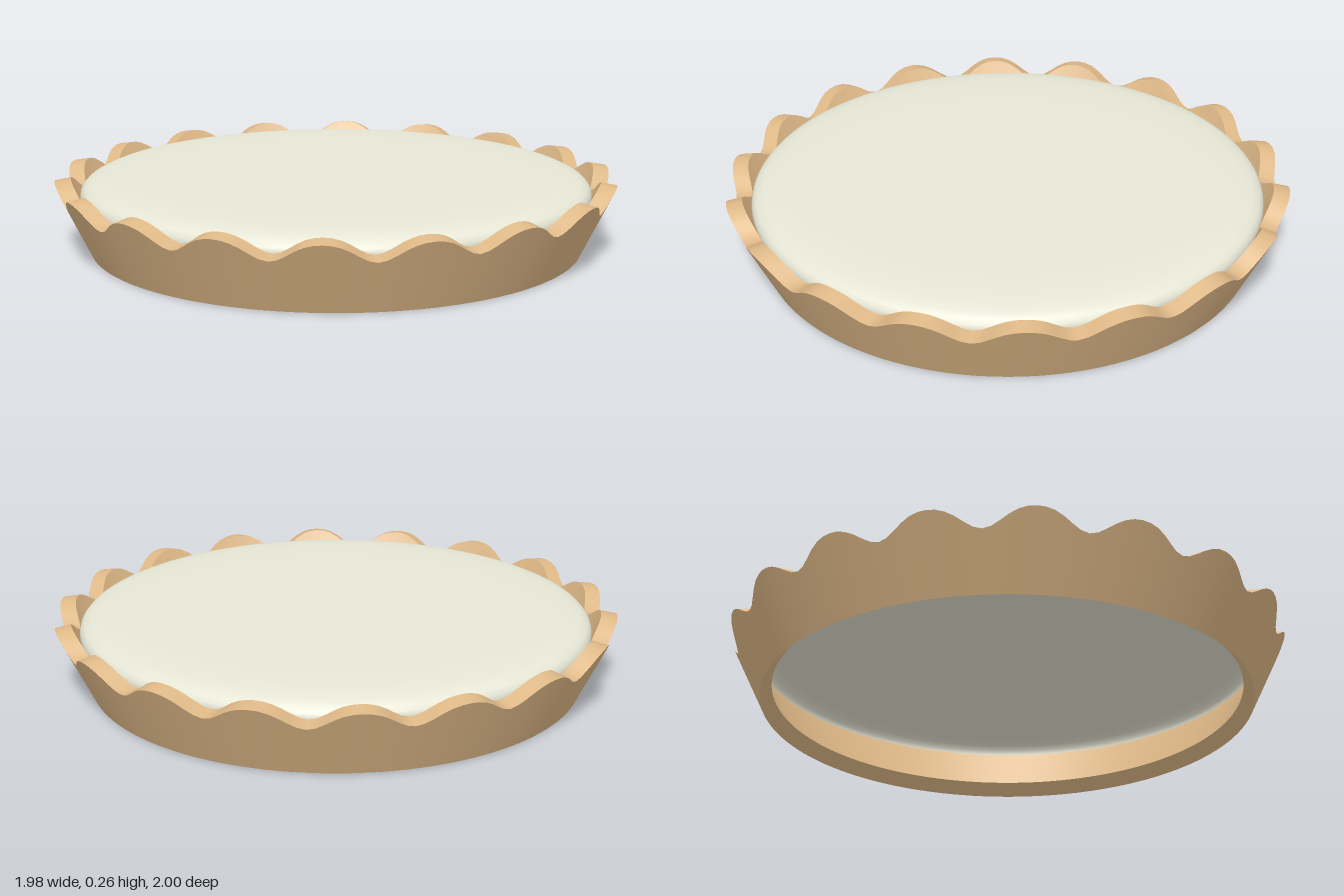
import * as THREE from 'three';
import { mergeGeometries } from 'three/addons/utils/BufferGeometryUtils.js';

const SCALLOPS = 18;
const SEGMENTS = SCALLOPS * 12;

// Height of the wavy rim: broad humps with narrower dips
function rimHeight(a) {
  const wave = Math.cos(SCALLOPS * a) - 0.12 * Math.cos(2 * SCALLOPS * a);
  return 0.185 + 0.0325 * (wave + 1.12);
}

// Smooth closed band joining two rings; each ring maps an angle to [radius, y]
function band(ringA, ringB) {
  const positions = [], index = [];
  for (let i = 0; i < SEGMENTS; i++) {
    const a = (i / SEGMENTS) * Math.PI * 2;
    for (const ring of [ringA, ringB]) {
      const [r, y] = ring(a);
      positions.push(r * Math.sin(a), y, r * Math.cos(a));
    }
    const p = 2 * i, q = 2 * ((i + 1) % SEGMENTS);
    index.push(p, q, q + 1, p, q + 1, p + 1);
  }
  const geometry = new THREE.BufferGeometry();
  geometry.setAttribute('position', new THREE.Float32BufferAttribute(positions, 3));
  geometry.setIndex(index);
  geometry.computeVertexNormals();
  return geometry;
}

export function createModel() {
  const model = new THREE.Group();
  model.name = 'pie';

  const pastry = new THREE.MeshStandardMaterial({ color: 0xdeb887, side: THREE.DoubleSide });
  pastry.name = 'pastry';
  const cream = new THREE.MeshStandardMaterial({ color: 0xeeeedd, side: THREE.DoubleSide });
  cream.name = 'cream';

  // Crust: flared ring with a scalloped rim, open underneath
  const outerBottom = () => [0.88, 0];
  const outerTop = (a) => [0.88 + 0.48 * rimHeight(a), rimHeight(a)];
  const innerTop = (a) => {
    const y = rimHeight(a) + 0.01;
    return [0.818 + 0.48 * y, y];
  };
  const innerBottom = () => [0.84, 0.045];
  const rings = [outerBottom, outerTop, innerTop, innerBottom];
  const crust = new THREE.Mesh(
    mergeGeometries(rings.map((ring, i) => band(ring, rings[(i + 1) % rings.length]))),
    pastry
  );
  crust.name = 'crust';
  model.add(crust);

  // Filling: thin cap whose rounded edge dips into the crust
  const profile = [
    [0.909, 0.17], [0.912, 0.195], [0.908, 0.213], [0.895, 0.228], [0.87, 0.24],
    [0.83, 0.248], [0.77, 0.254], [0.68, 0.258], [0.55, 0.26], [0, 0.261],
  ].map(([x, y]) => new THREE.Vector2(x, y));
  const filling = new THREE.Mesh(new THREE.LatheGeometry(profile, 96), cream);
  filling.name = 'filling';
  model.add(filling);

  return model;
}
